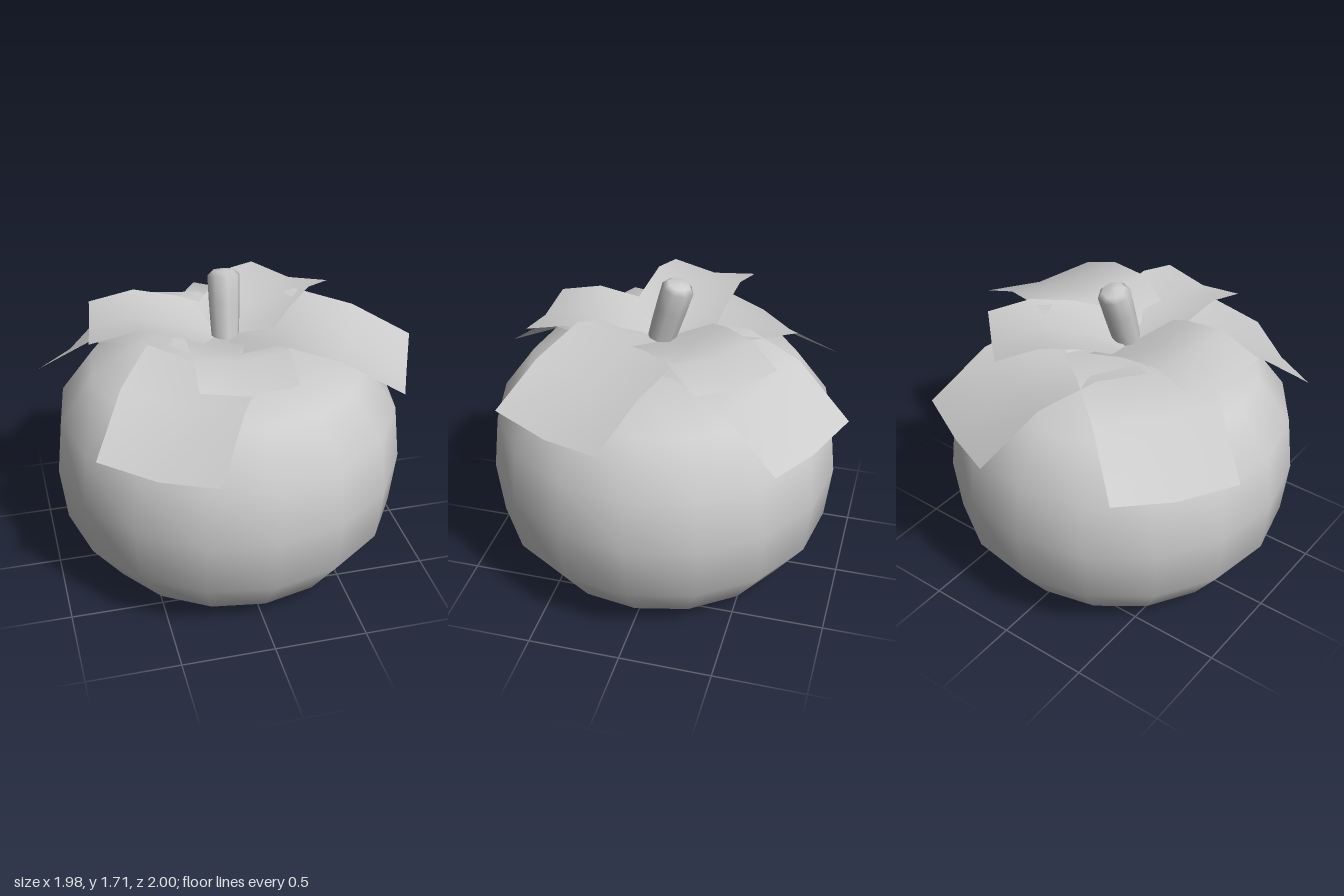
import * as THREE from 'three';

const CX = -0.02, CZ = 0.02; // vertical axis of the fruit

function material(options = {}) {
  return new THREE.MeshStandardMaterial({ color: 0xcccccc, ...options });
}

// Squashed round fruit with a dimple on top
function makeBody() {
  const profile = [
    [0, 0], [0.44, 0.02], [0.735, 0.1], [0.915, 0.35], [0.948, 0.655],
    [0.915, 0.96], [0.735, 1.21], [0.44, 1.3], [0, 1.29],
  ].map(([r, y]) => new THREE.Vector2(r, y));
  const body = new THREE.Mesh(new THREE.LatheGeometry(profile, 16), material());
  body.name = 'fruitBody';
  body.position.set(CX, 0, CZ);
  body.rotation.y = 0.04;
  return body;
}

// Square-ended leaf, folded along its midrib; heights run from base to tip
function makeLeaf({ name, tip: [tx, tz], halfWidth, heights, fold }) {
  const length = Math.hypot(tx - CX, tz - CZ);
  const geometry = new THREE.PlaneGeometry(1, 1, 2, 3).rotateX(-Math.PI / 2);
  const position = geometry.attributes.position;
  for (let row = 0; row < 4; row++) {
    for (let col = 0; col < 3; col++) {
      const y = heights[row] - (col === 1 ? fold[row] : 0);
      position.setXYZ(row * 3 + col, (col - 1) * halfWidth, y, (row / 3) * length);
    }
  }
  geometry.computeVertexNormals();
  const leaf = new THREE.Mesh(geometry, material({ side: THREE.DoubleSide }));
  leaf.name = name;
  leaf.position.set(CX, 0, CZ);
  leaf.rotation.y = Math.atan2(tx - CX, tz - CZ);
  return leaf;
}

// Leaning stem with a slightly domed end
function makeStem() {
  const profile = [[0.07, 0], [0.078, 0.14], [0.083, 0.26], [0.086, 0.385], [0.06, 0.41], [0, 0.418]]
    .map(([r, y]) => new THREE.Vector2(r, y));
  const stem = new THREE.Mesh(new THREE.LatheGeometry(profile, 8), material());
  stem.name = 'stem';
  const base = new THREE.Vector3(-0.037, 1.3, 0.06);
  const top = new THREE.Vector3(-0.02, 1.7, -0.06);
  stem.position.copy(base);
  stem.quaternion.setFromUnitVectors(new THREE.Vector3(0, 1, 0), top.sub(base).normalize());
  return stem;
}

export function createModel() {
  const model = new THREE.Group();
  model.name = 'fruit';
  model.add(makeBody(), makeStem());

  // Lower ring: four wide drooping leaves
  const droop = [1.34, 1.39, 1.32, 1.08];
  const lower = [
    ['lowerLeafBackRight', [-0.795, -0.59], droop],
    ['lowerLeafBack', [0.39, -0.86], droop],
    ['lowerLeafFrontLeft', [0.86, 0.39], [1.38, 1.49, 1.42, 1.265]],
    ['lowerLeafFrontRight', [-0.555, 0.815], [1.34, 1.38, 1.31, 1.07]],
  ];
  for (const [name, tip, heights] of lower) {
    model.add(makeLeaf({ name, tip, heights, halfWidth: 0.327, fold: [0.03, 0.05, 0.03, 0.04] }));
  }

  // Upper ring: three smaller raised leaves
  const upper = [
    ['upperLeafRight', [-0.735, -0.085], [1.38, 1.47, 1.52, 1.46]],
    ['upperLeafFront', [-0.075, 0.71], [1.39, 1.45, 1.48, 1.42]],
    ['upperLeafBackLeft', [0.46, -0.47], [1.4, 1.47, 1.5, 1.445]],
  ];
  for (const [name, tip, heights] of upper) {
    model.add(makeLeaf({ name, tip, heights, halfWidth: 0.243, fold: [0.05, 0.05, 0.04, 0.04] }));
  }
  return model;
}
